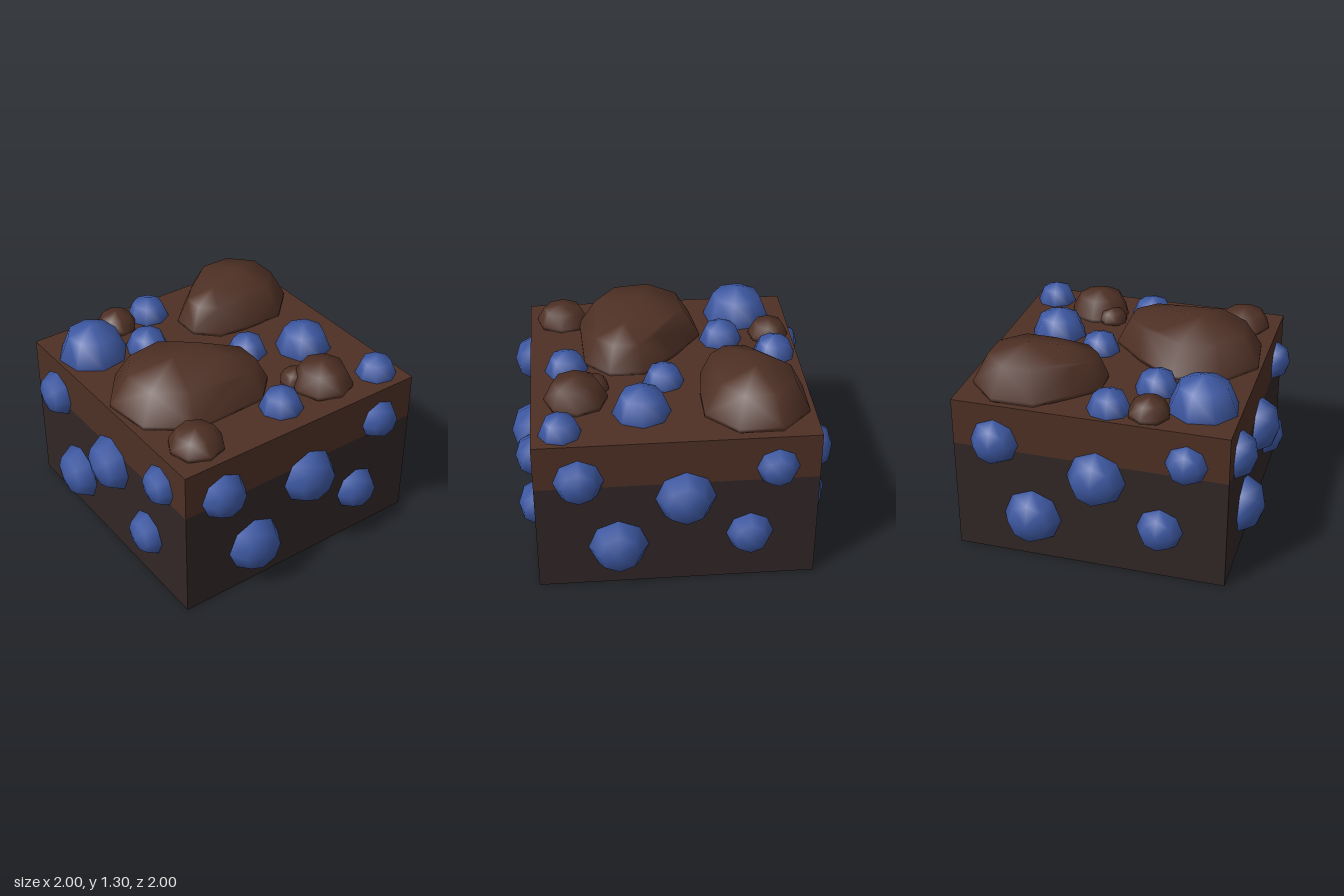
import * as THREE from 'three';
import { mergeVertices } from 'three/addons/utils/BufferGeometryUtils.js';
import { ConvexGeometry } from 'three/addons/geometries/ConvexGeometry.js';

const HALF = 0.857, TOP = 1.03, BAND = 0.73;

const mat = (name, color) => {
  const m = new THREE.MeshStandardMaterial({ color });
  m.name = name;
  return m;
};

// Points of one squat eight-sided dome: short upright rim, shoulder ring, apex.
function domePoints([x, z, r, apex, turn]) {
  const rim = TOP + 0.025, rise = apex - rim, points = [new THREE.Vector3(x, apex, z)];
  const rings = [[1, TOP], [1, rim], [0.72, rim + rise * 0.72]];
  for (const [k, y] of rings) {
    for (let i = 0; i < 8; i++) {
      const a = THREE.MathUtils.degToRad(turn + i * 45);
      points.push(new THREE.Vector3(x + Math.cos(a) * r * k, y, z + Math.sin(a) * r * k));
    }
  }
  return points;
}

// Smooth lump wrapped around one or more domes.
function lumpGeometry(domes) {
  const hull = new ConvexGeometry(domes.flatMap(domePoints));
  hull.deleteAttribute('normal');
  const smooth = mergeVertices(hull, 1e-4);
  smooth.computeVertexNormals();
  return smooth;
}

export function createModel() {
  const model = new THREE.Group();
  model.name = 'berryBlock';
  const brown = mat('brown', 0x4e3025);
  const dark = mat('darkBrown', 0x312626);
  const blue = mat('blue', 0x3e59a3);

  const add = (parent, name, geometry, material) => {
    const mesh = new THREE.Mesh(geometry, material);
    mesh.name = name;
    parent.add(mesh);
    return mesh;
  };

  // Two-layer block
  add(model, 'lowerLayer', new THREE.BoxGeometry(HALF * 2, BAND, HALF * 2), dark)
    .position.y = BAND / 2;
  add(model, 'upperLayer', new THREE.BoxGeometry(HALF * 2, TOP - BAND, HALF * 2), brown)
    .position.y = (BAND + TOP) / 2;

  // Brown lumps: [x, z, radius, apex height, turn in degrees] for each dome
  const lumps = {
    largeFrontLump: [[0.14, 0.45, 0.405, 1.3, 15], [0.25, 0.16, 0.285, 1.265, 22.5]],
    largeBackLump: [[-0.5, -0.48, 0.345, 1.3, 22.5], [-0.42, -0.24, 0.235, 1.265, 22.5]],
    mediumLump: [[0.58, -0.355, 0.195, 1.2, 0]],
    mediumLumpFoot: [[0.465, -0.235, 0.095, 1.12, 15]],
    smallFrontLump: [[0.64, 0.63, 0.17, 1.16, 5]],
    smallSideLump: [[-0.705, 0.335, 0.13, 1.15, 10]],
  };
  for (const [name, domes] of Object.entries(lumps)) {
    add(model, name, lumpGeometry(domes), brown);
  }

  // Berries on top: [x, z, radius, turn]
  const half = new THREE.SphereGeometry(1, 8, 2, 0, Math.PI * 2, 0, Math.PI / 2);
  const topBerries = [
    [0.19, -0.52, 0.18, 0], [0.685, -0.705, 0.13, 8], [0.03, -0.19, 0.13, 0],
    [-0.705, 0.09, 0.138, 8], [-0.385, 0.3, 0.14, 0], [-0.53, 0.62, 0.222, -13],
    [0.63, 0, 0.138, 5],
  ];
  for (const [x, z, r, turn] of topBerries) {
    const berry = add(model, 'topBerry', half, blue);
    berry.position.set(x, TOP, z);
    berry.scale.setScalar(r);
    berry.rotation.y = THREE.MathUtils.degToRad(turn);
  }

  // Flattened berries, the same set on all four sides: [across, height, radius]
  const sideBerries = [
    [-0.59, 0.78, 0.152], [0.05, 0.625, 0.184], [0.6, 0.815, 0.13],
    [-0.36, 0.285, 0.184], [0.445, 0.335, 0.145],
  ];
  for (let i = 0; i < 4; i++) {
    const side = new THREE.Group();
    side.name = 'sideBerries';
    side.rotation.y = i * Math.PI / 2;
    for (const [x, y, r] of sideBerries) {
      const berry = add(side, 'sideBerry', half, blue);
      berry.position.set(x, y, HALF);
      berry.rotation.x = Math.PI / 2;
      berry.scale.set(r, r * 0.77, r);
    }
    model.add(side);
  }
  return model;
}
